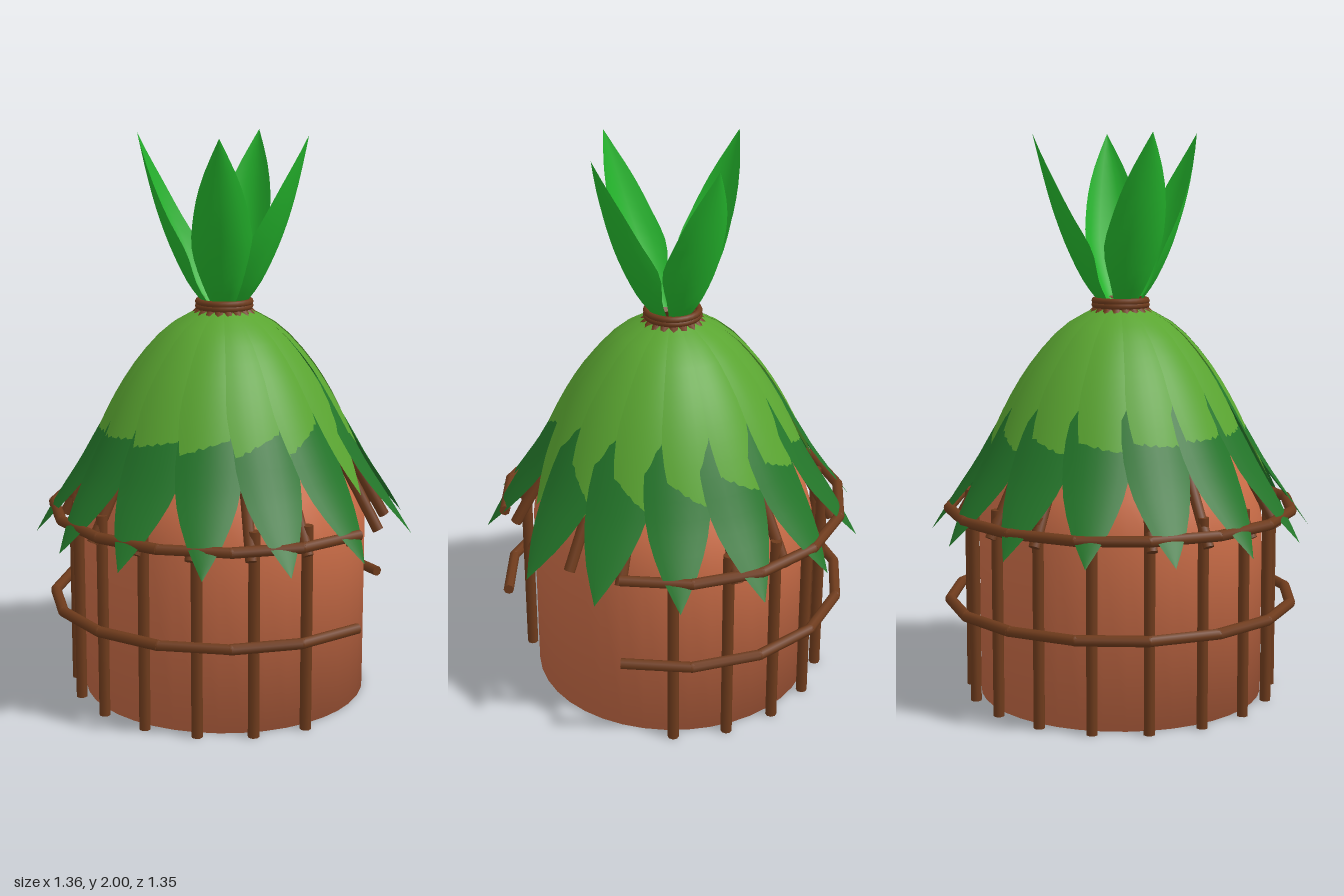
import * as THREE from 'three';

const mat = (color, side = THREE.FrontSide) =>
  new THREE.MeshStandardMaterial({ color, side, roughness: 0.9 });
const clay = mat(0xcd6e48);
const wood = mat(0x6e3b1c);
const lightLeaf = mat(0x5aa531, THREE.DoubleSide);
const darkLeaf = mat(0x237529, THREE.DoubleSide);
const freshLeaf = mat(0x24b52c, THREE.DoubleSide);

const UP = new THREE.Vector3(0, 1, 0);
const rad = THREE.MathUtils.degToRad;
// point at an angle (degrees from +x towards +z), radius and height
const polar = (deg, r, y) =>
  new THREE.Vector3(r * Math.cos(rad(deg)), y, r * Math.sin(rad(deg)));

function mesh(name, geometry, material, parent) {
  const m = new THREE.Mesh(geometry, material);
  m.name = name;
  parent.add(m);
  return m;
}

function group(name, parent) {
  const g = new THREE.Group();
  g.name = name;
  parent.add(g);
  return g;
}

// straight round stick between two points
function stick(name, a, b, radius, parent) {
  const dir = b.clone().sub(a);
  const m = mesh(name, new THREE.CylinderGeometry(radius, radius, dir.length(), 8), wood, parent);
  m.position.copy(a).add(b).multiplyScalar(0.5);
  m.quaternion.setFromUnitVectors(UP, dir.normalize());
}

// leaf wrapped around the y axis; each row is [radius, height, half width]
function leafGeometry(rows, cup, lift) {
  const curve = new THREE.CatmullRomCurve3(rows.map((r) => new THREE.Vector3(...r)));
  const nt = 14, ns = 6, pos = [], index = [];
  for (let i = 0; i <= nt; i++) {
    const p = curve.getPoint(i / nt);
    const w = Math.max(p.z, 0);
    for (let j = 0; j <= ns; j++) {
      const s = (j / ns) * 2 - 1;
      const phi = (s * w) / p.x;
      const r = p.x - cup * w * s * s + lift * s * (w / 0.1);
      pos.push(r * Math.cos(phi), p.y, r * Math.sin(phi));
      if (i < nt && j < ns) {
        const a = i * (ns + 1) + j, b = a + ns + 1;
        index.push(a, a + 1, b, a + 1, b + 1, b);
      }
    }
  }
  const g = new THREE.BufferGeometry();
  g.setAttribute('position', new THREE.Float32BufferAttribute(pos, 3));
  g.setIndex(index);
  g.computeVertexNormals();
  return g;
}

function leafRing(name, geometry, material, angles, parent) {
  const ring = group(name, parent);
  for (const deg of angles) mesh('leaf', geometry, material, ring).rotation.y = -rad(deg);
}

const steps = (n, start, step) => Array.from({ length: n }, (_, i) => start + i * step);

export function createModel() {
  const hut = new THREE.Group();
  hut.name = 'leafHut';

  // clay wall with domed top
  const wall = [[0, 0], [0.51, 0], [0.51, 0.64], [0.47, 0.78], [0.385, 0.93],
    [0.24, 1.17], [0.05, 1.36], [0, 1.37]].map((p) => new THREE.Vector2(...p));
  mesh('clayBody', new THREE.LatheGeometry(wall, 40), clay, hut);

  // upright posts, leaving the +x side open
  const fence = group('fence', hut);
  for (const deg of steps(14, 48, 264 / 13))
    stick('post', polar(deg, 0.545, 0), polar(deg, 0.545, 0.73), 0.02, fence);

  // two bent rails around the posts
  for (const y of [0.345, 0.68]) {
    const pts = steps(14, 31, 298 / 13).map((deg) => polar(deg, 0.618, y));
    for (let i = 0; i < 13; i++) stick('rail', pts[i], pts[i + 1], 0.019, fence);
    for (let i = 1; i < 13; i++)
      mesh('railJoint', new THREE.SphereGeometry(0.019, 8, 6), wood, fence).position.copy(pts[i]);
  }

  // rafters under the leaves
  const rafters = group('rafters', hut);
  const slope = [[0.58, 0.635], [0.465, 0.84], [0.29, 1.16], [0.16, 1.3], [0.065, 1.4]];
  for (const deg of steps(18, 10, 20))
    for (let i = 0; i < slope.length - 1; i++)
      stick('rafter', polar(deg, ...slope[i]), polar(deg, ...slope[i + 1]), 0.02, rafters);

  // roof leaves in two layers
  const lower = leafGeometry([[0.06, 1.385, 0.02], [0.2, 1.3, 0.05], [0.33, 1.155, 0.08],
    [0.44, 0.98, 0.115], [0.52, 0.84, 0.11], [0.6, 0.72, 0.07], [0.68, 0.6, 0]], 0.08, 0.008);
  const upper = leafGeometry([[0.07, 1.4, 0.02], [0.2, 1.325, 0.05], [0.31, 1.205, 0.075],
    [0.39, 1.08, 0.092], [0.455, 0.95, 0.078], [0.495, 0.86, 0.048], [0.535, 0.77, 0]], 0.06, 0.008);
  leafRing('lowerRoofLeaves', lower, darkLeaf, steps(14, 0, -25), hut);
  leafRing('upperRoofLeaves', upper, lightLeaf, steps(15, -8, 24), hut);

  // cord tying the top
  for (const y of [1.4, 1.415]) {
    const cord = mesh('cord', new THREE.TorusGeometry(0.092, 0.012, 8, 28), wood, hut);
    cord.rotation.x = Math.PI / 2;
    cord.position.y = y;
  }

  // crown of four upright leaves
  const crown = leafGeometry([[0.07, 1.4, 0.05], [0.13, 1.48, 0.09], [0.19, 1.6, 0.14],
    [0.235, 1.72, 0.115], [0.27, 1.84, 0.075], [0.31, 2.0, 0]], 0.25, 0);
  leafRing('crownLeaves', crown, freshLeaf, [11, 82, 180, 283], hut);

  return hut;
}
